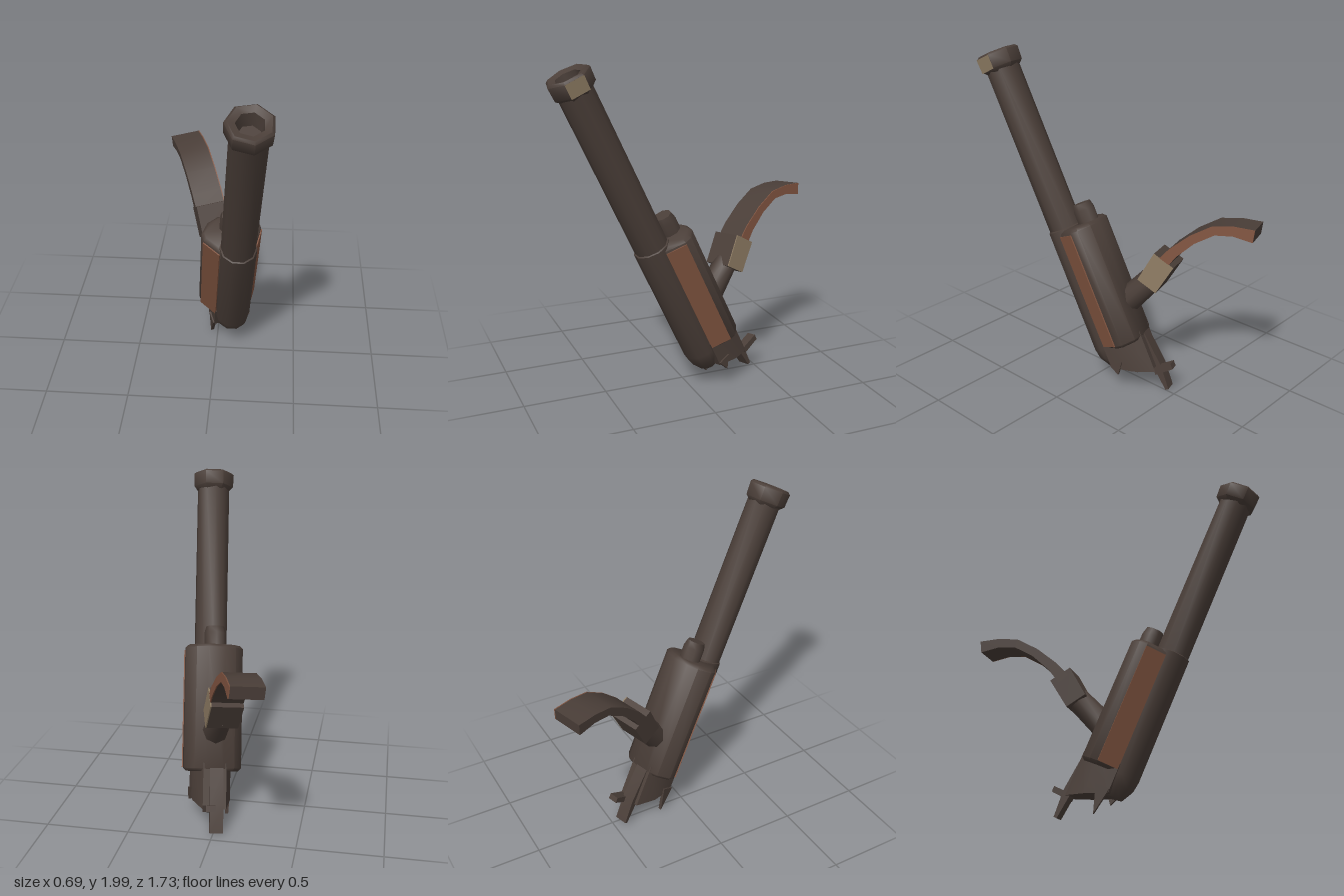
import * as THREE from 'three';
import { toCreasedNormals } from 'three/addons/utils/BufferGeometryUtils.js';

const mat = (name, color) => {
  const m = new THREE.MeshStandardMaterial({ color });
  m.name = name;
  return m;
};

export function createModel() {
  const dark = mat('dark metal', 0x4a3e38);
  const rust = mat('rust brown', 0x7f533f);
  const tan = mat('worn tan', 0x8b7961);

  // Working frame: Y runs along the barrel, -Z points to the grip side, X across
  const model = new THREE.Group();
  model.name = 'launcher';
  const frame = new THREE.Group();
  frame.name = 'tiltedFrame';
  const Y = new THREE.Vector3(0.0615, 0.901, 0.429).normalize();
  const X = new THREE.Vector3().crossVectors(Y, new THREE.Vector3(0.343, -0.422, 0.838)).normalize();
  const Z = new THREE.Vector3().crossVectors(X, Y);
  frame.quaternion.setFromRotationMatrix(new THREE.Matrix4().makeBasis(X, Y, Z));
  frame.position.set(0.098, 0.24, -0.08);
  model.add(frame);

  const add = (name, geo, material, crease = 0.9) => {
    const mesh = new THREE.Mesh(toCreasedNormals(geo, crease), material);
    mesh.name = name;
    frame.add(mesh);
    return mesh;
  };
  const shapeOf = (pts) => new THREE.Shape(pts.map(([a, b]) => new THREE.Vector2(a, b)));
  const lathe = (pts, sides, start = 0) =>
    new THREE.LatheGeometry(pts.map(([r, y]) => new THREE.Vector2(r, y)), sides, start);

  // Section in (across, back), extruded along the barrel from y0 to y1
  const along = (pts, y0, y1, bevel = 0) =>
    new THREE.ExtrudeGeometry(shapeOf(pts), {
      depth: y1 - y0 - 2 * bevel, bevelEnabled: bevel > 0, bevelSegments: 1,
      bevelThickness: bevel, bevelSize: bevel, bevelOffset: -bevel,
    }).rotateX(-Math.PI / 2).translate(0, y0 + bevel, 0);

  // Side outline in (back, along), extruded across from x0 to x1
  const across = (pts, x0, x1) =>
    new THREE.ExtrudeGeometry(shapeOf(pts), { depth: x1 - x0, bevelEnabled: false })
      .rotateY(Math.PI / 2).translate(x0, 0, 0);

  // Outline around a centre line of [back, along, half thickness]
  const ribbon = (line) => {
    const upper = [], lower = [];
    line.forEach(([w, t, h], i) => {
      const a = line[Math.max(i - 1, 0)], b = line[Math.min(i + 1, line.length - 1)];
      const l = Math.hypot(b[0] - a[0], b[1] - a[1]);
      const nx = -(b[1] - a[1]) / l, ny = (b[0] - a[0]) / l;
      upper.unshift([w + nx * h, t + ny * h]);
      lower.push([w - nx * h, t - ny * h]);
    });
    return [...lower, ...upper];
  };

  // Barrel with a rounded breech and a thicker lower sleeve
  add('barrel', lathe([[0, -0.14], [0.06, -0.13], [0.1, -0.06], [0.11, 0.0], [0.109, 0.77],
    [0.101, 0.775], [0.101, 1.8]], 10), dark);

  // Muzzle ring with a recessed bore
  const step = (Math.PI * 2) / 7, start = -0.122;
  add('muzzleRing', lathe([[0.098, 1.775], [0.126, 1.8], [0.13, 1.88], [0.115, 1.893],
    [0.075, 1.88], [0.06, 1.8], [0, 1.8]], 7, start), dark, 1.0);
  const chip = new THREE.CylinderGeometry(0.133, 0.13, 0.085, 1, 1, true, start + step, step);
  add('muzzleWornFacet', chip.translate(0, 1.838, 0), tan);

  // Receiver body
  add('body', along([[-0.1, 0], [0.1, 0], [0.175, 0.11], [0.175, 0.16], [0.12, 0.225],
    [0.05, 0.25], [-0.05, 0.25], [-0.12, 0.225], [-0.175, 0.16], [-0.175, 0.11]], 0, 0.765, 0.018), dark);

  // Rust panels on both front corners of the body
  for (const s of [1, -1]) {
    const section = [[0.108, 0.003], [0.114, 0.0], [0.181, 0.108], [0.175, 0.112]]
      .map(([x, w]) => [x * s, w]);
    add(s > 0 ? 'leftPanel' : 'rightPanel', along(section, 0.02, 0.735), rust, 0.3);
  }

  // Small tube above the body
  add('upperTube', lathe([[0.066, 0.7], [0.066, 0.84], [0.055, 0.88], [0, 0.88]], 8)
    .translate(0, 0, -0.16), dark);

  // Neck joining the body to the grip
  const neckFrom = new THREE.Vector3(0, 0.22, -0.18), neckTo = new THREE.Vector3(0, 0.33, -0.44);
  const dir = neckTo.clone().sub(neckFrom);
  const neck = new THREE.CylinderGeometry(0.072, 0.08, dir.length(), 8);
  neck.applyQuaternion(new THREE.Quaternion().setFromUnitVectors(new THREE.Vector3(0, 1, 0), dir.normalize()));
  neck.translate(0, 0.275, -0.31);
  add('neck', neck, dark);

  // Grip collar with a worn side face
  const collar = ribbon([[0.41, 0.305, 0.066], [0.57, 0.42, 0.07]]);
  add('gripCollar', across(collar, -0.095, 0.09), dark);
  add('gripCollarWornFace', across(collar, 0.09, 0.097), tan);

  // Curved grip plate with a rust edge
  const grip = ribbon([[0.54, 0.4, 0.035], [0.64, 0.45, 0.03], [0.78, 0.492, 0.026],
    [0.92, 0.506, 0.026], [1.03, 0.47, 0.028], [1.13, 0.41, 0.036]]);
  add('grip', across(grip, -0.095, 0.09), dark);
  add('gripRustEdge', across(grip, 0.09, 0.096), rust);

  // Tail block under the body, its lower end cut on a slope
  const tail = along([[-0.115, 0], [0.115, 0], [0.115, 0.13], [0.07, 0.245], [-0.07, 0.245],
    [-0.115, 0.13]], -0.1, 0.05);
  const p = tail.attributes.position;
  for (let i = 0; i < p.count; i++) {
    if (p.getY(i) < 0) p.setY(i, -0.12 + 0.42 * p.getZ(i));
  }
  add('tailBlock', tail, dark, 0.6);

  // Broken spikes and fin at the tail
  add('rearSpike', across([[0.235, 0.02], [0.225, -0.2], [0.245, -0.36], [0.265, -0.36],
    [0.275, -0.2], [0.25, 0.02]], -0.05, 0.03), dark);
  add('sideSpike', across([[0.0, -0.1], [0.03, -0.26], [0.085, -0.1]], -0.125, -0.105), dark);
  add('shortSpike', across([[0.0, -0.1], [0.03, -0.17], [0.085, -0.1]], 0.105, 0.125), dark);
  add('tailFin', across([[0.24, -0.24], [0.36, -0.23], [0.36, -0.195], [0.24, -0.2]], 0.01, 0.07), dark);

  return model;
}
